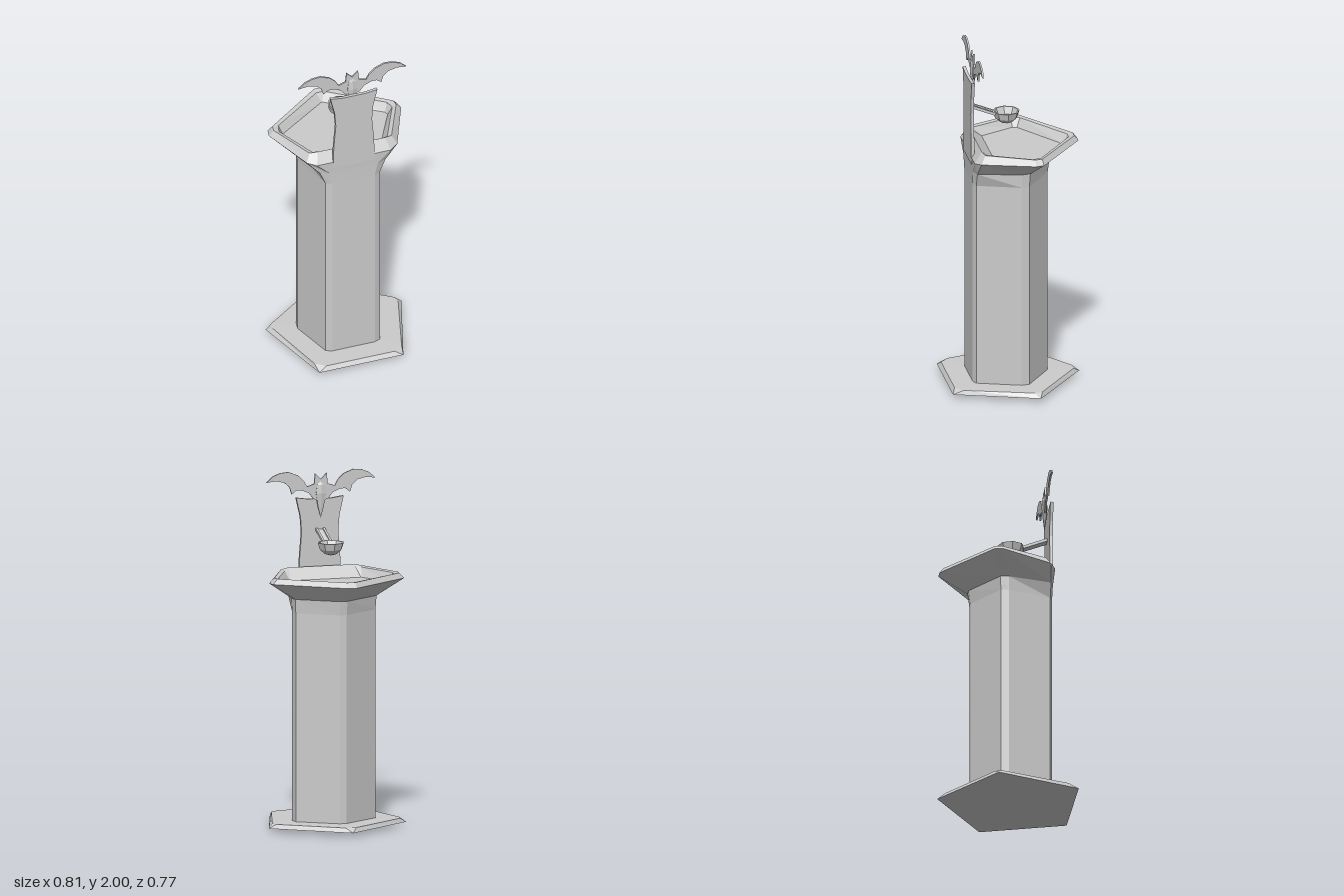
import * as THREE from 'three';

const mat = new THREE.MeshStandardMaterial({ color: 0xcccccc, flatShading: true, side: THREE.DoubleSide });

function add(group, name, geometry) {
  const mesh = new THREE.Mesh(geometry, mat);
  mesh.name = name;
  group.add(mesh);
  return mesh;
}

// A bevelled pentagon: half profile [x, z, rise] from back to front, mirrored to the left
function ring(y, half) {
  const right = half.map(([x, z, rise = 0]) => [x, y + rise, z]);
  const left = right.map(([x, py, z]) => [-x, py, z]).reverse();
  return [...right, ...left];
}

// Skin over a stack of rings, closed by a fan at either end
function loft(rings, bottomY, topY) {
  const pos = [];
  const tri = (a, b, c) => pos.push(...a, ...b, ...c);
  const n = rings[0].length;
  const cap = (r, y, top) => {
    const c = [0, y, 0.04];
    for (let i = 0; i < n; i++) {
      const j = (i + 1) % n;
      top ? tri(c, r[j], r[i]) : tri(c, r[i], r[j]);
    }
  };
  for (let k = 0; k + 1 < rings.length; k++) {
    const lo = rings[k], up = rings[k + 1];
    for (let i = 0; i < n; i++) {
      const j = (i + 1) % n;
      tri(lo[i], up[j], lo[j]);
      tri(lo[i], up[i], up[j]);
    }
  }
  if (bottomY !== null) cap(rings[0], bottomY, false);
  if (topY !== null) cap(rings[rings.length - 1], topY, true);
  const g = new THREE.BufferGeometry();
  g.setAttribute('position', new THREE.Float32BufferAttribute(pos, 3));
  g.computeVertexNormals();
  return g;
}

function plate(points, depth, z) {
  const shape = new THREE.Shape(points.map(([x, y]) => new THREE.Vector2(x, y)));
  const g = new THREE.ExtrudeGeometry(shape, { depth, bevelEnabled: false });
  g.translate(0, 0, z);
  return g;
}

const mirror = (pts) => [...pts, ...pts.map(([x, y]) => [-x, y]).reverse()];

export function createModel() {
  const group = new THREE.Group();

  // Sharp pentagonal foot with a bevelled top and a shallow underside
  add(group, 'base', loft([
    ring(0.025, [[0, -0.385], [0.405, -0.09], [0.405, -0.09], [0.25, 0.385], [0.25, 0.385]]),
    ring(0.05, [[0.03, -0.345], [0.365, -0.105], [0.375, -0.06], [0.26, 0.325], [0.205, 0.368]]),
  ], 0.002, 0.053));

  // Column with narrow bevels at its corners
  const shaft = [[0.02, -0.2], [0.235, -0.055], [0.242, -0.01], [0.162, 0.235], [0.127, 0.25]];
  add(group, 'column', loft([ring(0.045, shaft), ring(1.24, shaft)], null, null));

  // Flared basin: outer wall, rim, inner slope and floor
  add(group, 'basin', loft([
    ring(1.24, shaft),
    ring(1.32, [[0.022, -0.21], [0.24, -0.06], [0.246, -0.01], [0.195, 0.235], [0.145, 0.252]]),
    ring(1.42, [[0.025, -0.376], [0.386, -0.112], [0.395, -0.065], [0.27, 0.225, -0.015], [0.22, 0.255, -0.025]]),
    ring(1.45, [[0.025, -0.352], [0.36, -0.105], [0.365, -0.065], [0.245, 0.198], [0.2, 0.212, 0.008]]),
    ring(1.445, [[0.022, -0.32], [0.325, -0.105], [0.338, -0.055], [0.225, 0.185], [0.195, 0.208, 0.01]]),
    ring(1.395, [[0.002, -0.29], [0.305, -0.085], [0.312, -0.06], [0.213, 0.13], [0.208, 0.135]]),
  ], null, 1.395));

  // Upright plate at the front, waisted and spreading at the top
  add(group, 'uprightPlate', plate(mirror([
    [0.125, 1.355], [0.12, 1.5], [0.108, 1.65], [0.115, 1.74], [0.14, 1.848], [0.07, 1.838],
  ]), 0.018, 0.239));

  // Winged crest
  add(group, 'crestWings', plate(mirror([
    [0, 1.82], [0.045, 1.842], [0.07, 1.875], [0.115, 1.893], [0.145, 1.893], [0.172, 1.872],
    [0.185, 1.913], [0.215, 1.94], [0.265, 1.952], [0.322, 1.945], [0.285, 1.978], [0.24, 1.996],
    [0.19, 2], [0.135, 1.978], [0.1, 1.945], [0.082, 1.912], [0.04, 1.925], [0.034, 1.985], [0, 1.952],
  ]), 0.01, 0.22));

  // Faceted body of the crest, tapering down behind the plate
  const body = add(group, 'crestBody', new THREE.LatheGeometry(
    [[0, 1.73], [0.018, 1.79], [0.034, 1.87], [0.026, 1.92], [0, 1.95]].map(([x, y]) => new THREE.Vector2(x, y)), 6));
  body.scale.z = 0.5;
  body.position.z = 0.225;

  // Sloping channel arm carrying the cup
  const arm = new THREE.Group();
  arm.name = 'cupArm';
  const channel = new THREE.Shape([
    [-0.027, -0.008], [0.027, -0.008], [0.027, 0.008], [0.015, 0.008],
    [0.015, 0], [-0.015, 0], [-0.015, 0.008], [-0.027, 0.008],
  ].map(([x, y]) => new THREE.Vector2(x, y)));
  add(arm, 'armChannel', new THREE.ExtrudeGeometry(channel, { depth: 0.147, bevelEnabled: false }));
  arm.position.set(0, 1.61, 0.1);
  arm.rotation.x = -Math.atan2(0.055, 0.137);
  group.add(arm);

  // Eight-sided cup
  const cup = add(group, 'cup', new THREE.LatheGeometry(
    [[0, 1.545], [0.035, 1.555], [0.064, 1.58], [0.077, 1.62], [0.068, 1.62], [0.05, 1.58], [0, 1.565]]
      .map(([x, y]) => new THREE.Vector2(x, y)), 8));
  cup.position.z = 0.034;

  return group;
}
